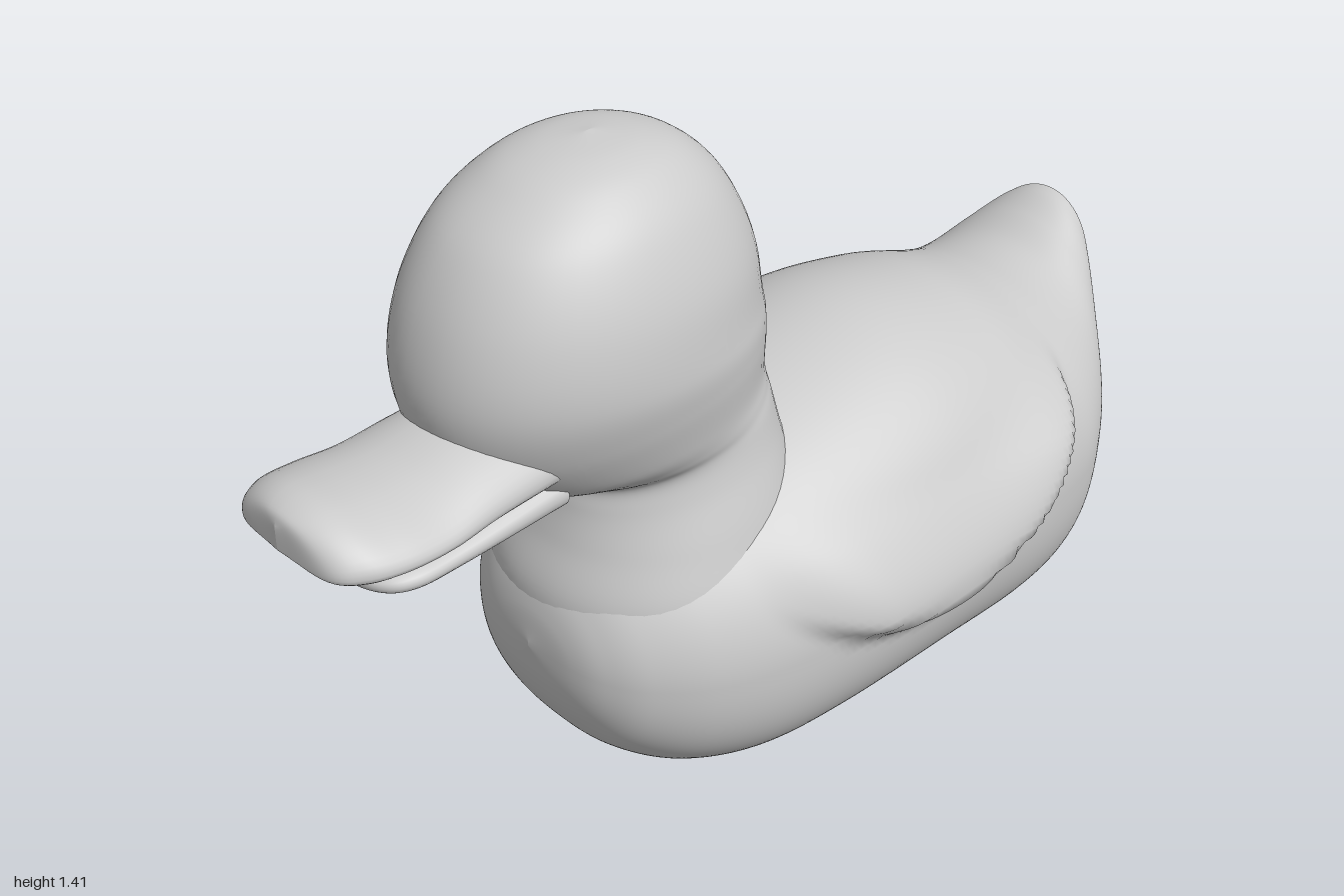
import * as THREE from 'three';

const material = new THREE.MeshStandardMaterial({ color: 0xcccccc, side: THREE.DoubleSide });
const { smoothstep } = THREE.MathUtils;
const signedPow = (v, p) => Math.sign(v) * Math.abs(v) ** p;

// Smooth skin through stations of four numbers; ringPoint(station, cos, sin) gives [x, y, z]
function loft(name, stations, ringPoint, rings, sides) {
  const first = new THREE.CatmullRomCurve3(
    stations.map(s => new THREE.Vector3(s[0], s[1], s[2])), false, 'catmullrom', 0.5);
  const width = new THREE.CatmullRomCurve3(
    stations.map(s => new THREE.Vector3(s[3], 0, 0)), false, 'catmullrom', 0.5);
  const positions = [], index = [];
  for (let i = 0; i <= rings; i++) {
    const p = first.getPoint(i / rings);
    const station = [p.x, p.y, p.z, Math.max(0, width.getPoint(i / rings).x)];
    for (let j = 0; j < sides; j++) {
      const t = (j / sides) * Math.PI * 2;
      positions.push(...ringPoint(station, Math.cos(t), Math.sin(t)));
      if (i === rings) continue;
      const k = (j + 1) % sides, a = i * sides, b = a + sides;
      index.push(a + j, b + j, a + k, a + k, b + j, b + k);
    }
  }
  const geometry = new THREE.BufferGeometry();
  geometry.setAttribute('position', new THREE.Float32BufferAttribute(positions, 3));
  geometry.setIndex(index);
  geometry.computeVertexNormals();
  const mesh = new THREE.Mesh(geometry, material);
  mesh.name = name;
  return mesh;
}

// Height of the folded wing above the flank: crisp lower edge, soft upper blend
function wingBulge(x, y) {
  const d = x - 0.2;
  const edge = 0.305 + (d > 0 ? 1.2 : 0.8) * d * d;
  const rise = smoothstep(y, edge - 0.025, edge + 0.035);
  const blend = (1 - smoothstep(y, edge + 0.05, edge + 0.3)) * (1 - smoothstep(y, 0.53, 0.69));
  const ends = smoothstep(x, -0.25, 0.02) * (1 - smoothstep(x, 0.66, 0.73));
  return 0.052 * rise * blend * ends;
}

// Body section: rounded, cut flat at the ground, a wing raised on each flank, tail bent aside
function bodyPoint([x, bottom, top, half], c, s) {
  const mid = (bottom + top) / 2, rise = (top - bottom) / 2;
  const y = Math.max(0, mid + rise * signedPow(s, s < 0 ? 0.82 : 1));
  const side = half * signedPow(c, s < 0 ? 0.82 : 1);
  const wing = Math.sign(c) * Math.min(1, Math.abs(c) * 3) * wingBulge(x, y);
  return [x, y, side + wing - 0.045 * smoothstep(x, 0.75, 1.08)];
}

// Head and neck section: around the chin it tilts up and widens towards the back
function headPoint([y, front, back, half], c, s) {
  const chin = smoothstep(y, 0.5, 0.72) * (1 - smoothstep(y, 0.8, 1.1));
  return [
    (front + back) / 2 + (back - front) / 2 * signedPow(c, 0.95),
    y + 0.07 * chin * (1 + c),
    half * signedPow(s, 0.95) * (1 + 0.12 * chin * c),
  ];
}

// Flattened bill section whose edges droop
const billPoint = droop => ([x, bottom, top, half], c, s) => {
  const side = signedPow(c, 0.8);
  return [x, (bottom + top) / 2 + (top - bottom) / 2 * signedPow(s, 0.85) - droop * side * side, half * side];
};

export function createModel() {
  const model = new THREE.Group();
  model.name = 'duck';
  const duck = new THREE.Group();
  duck.name = 'turnedDuck';

  // Body from breast to raised tail: x, bottom, top, half width
  duck.add(loft('bodyWithWings', [
    [-0.55, 0.34, 0.35, 0], [-0.538, 0.25, 0.43, 0.12], [-0.51, 0.17, 0.5, 0.2],
    [-0.455, 0.09, 0.57, 0.275], [-0.35, 0.02, 0.64, 0.355], [-0.2, -0.02, 0.705, 0.413],
    [0, -0.025, 0.765, 0.443], [0.3, -0.025, 0.82, 0.448], [0.55, -0.025, 0.79, 0.435],
    [0.72, -0.01, 0.74, 0.395], [0.82, 0.07, 0.717, 0.355], [0.9, 0.165, 0.72, 0.305],
    [0.98, 0.31, 0.755, 0.23], [1.045, 0.47, 0.787, 0.155], [1.077, 0.58, 0.785, 0.1],
    [1.092, 0.69, 0.73, 0],
  ], bodyPoint, 180, 128));

  // Neck and head: y, front, back, half width
  const head = loft('headAndNeck', [
    [0.34, -0.53, 0.15, 0.33], [0.47, -0.53, 0.11, 0.335], [0.58, -0.49, 0.06, 0.305],
    [0.66, -0.465, 0.02, 0.27], [0.71, -0.462, 0, 0.258], [0.735, -0.53, -0.003, 0.26],
    [0.775, -0.635, -0.003, 0.268], [0.87, -0.73, 0, 0.288], [1.0, -0.765, 0, 0.3],
    [1.15, -0.735, -0.015, 0.285], [1.28, -0.66, -0.07, 0.235], [1.36, -0.555, -0.145, 0.17],
    [1.397, -0.46, -0.23, 0.1], [1.412, -0.345, -0.335, 0],
  ], headPoint, 100, 64);
  head.position.z = -0.01;
  duck.add(head);

  // Bill halves, tip to root: x, bottom, top, half width
  const bill = new THREE.Group();
  bill.name = 'bill';
  bill.add(loft('upperBill', [
    [-1.095, 0.9, 0.91, 0], [-1.08, 0.875, 0.935, 0.13], [-1.03, 0.86, 0.95, 0.18],
    [-0.95, 0.86, 0.942, 0.198], [-0.85, 0.858, 0.938, 0.194], [-0.74, 0.857, 0.96, 0.182],
    [-0.58, 0.855, 0.98, 0.17],
  ], billPoint(0.045), 40, 40));
  bill.add(loft('lowerBill', [
    [-0.99, 0.755, 0.765, 0], [-0.965, 0.742, 0.785, 0.1], [-0.91, 0.735, 0.8, 0.145],
    [-0.8, 0.737, 0.81, 0.15], [-0.56, 0.745, 0.85, 0.15],
  ], billPoint(0), 30, 40));
  bill.position.z = 0.016;
  duck.add(bill);

  // The duck looks diagonally across the ground
  const turn = 0.471;
  duck.rotation.y = turn;
  duck.position.set(0.027 * Math.sin(turn), 0, 0.027 * Math.cos(turn));
  model.add(duck);
  return model;
}
